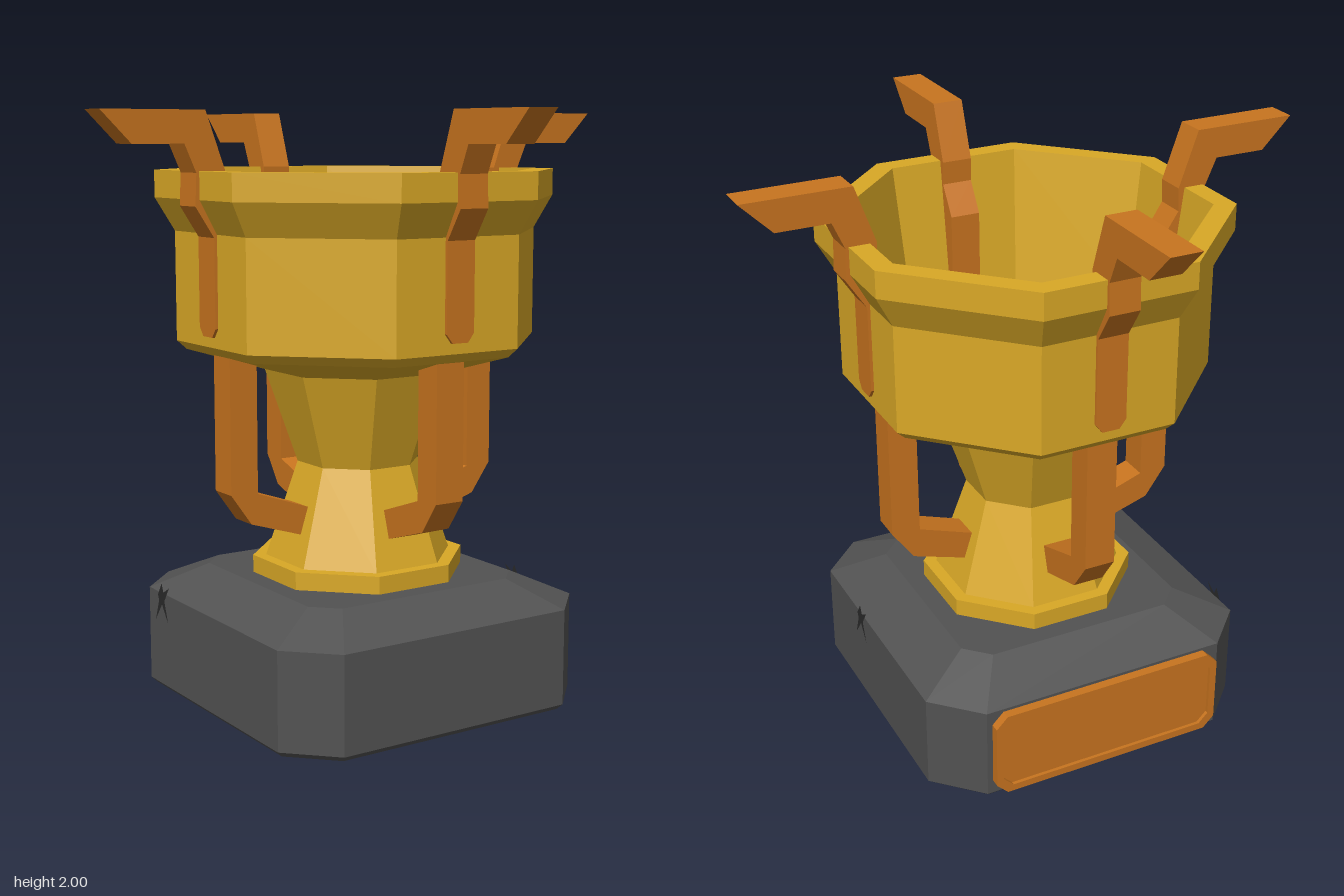
import * as THREE from 'three';

const paint = (color, side = THREE.FrontSide) =>
  new THREE.MeshStandardMaterial({ color, flatShading: true, side });
const gold = paint(0xd9a826);
const copper = paint(0xc8741f);
const stone = paint(0x525252);
const dark = paint(0x2a2a2a, THREE.DoubleSide);

function part(name, geometry, material) {
  const flat = geometry.index ? geometry.toNonIndexed() : geometry;
  flat.computeVertexNormals();
  const mesh = new THREE.Mesh(flat, material);
  mesh.name = name;
  return mesh;
}

// Joins closed rings of [x, y, z] points, each counter-clockwise seen from the end, and caps both ends
function loft(rings) {
  const n = rings[0].length, last = (rings.length - 1) * n, index = [];
  for (let i = 0; i < last; i += n) {
    for (let j = 0; j < n; j++) {
      const k = (j + 1) % n;
      index.push(i + j, i + k, i + n + k, i + j, i + n + k, i + n + j);
    }
  }
  for (let j = 1; j < n - 1; j++) index.push(0, j + 1, j, last, last + j, last + j + 1);
  const g = new THREE.BufferGeometry();
  g.setAttribute('position', new THREE.Float32BufferAttribute(rings.flat(2), 3));
  g.setIndex(index);
  return g;
}

// Eight-sided turned form; radii are measured to the flats
function octagonal(profile) {
  const pts = profile.map(([r, y]) => new THREE.Vector2(r / Math.cos(Math.PI / 8), y));
  return new THREE.LatheGeometry(pts, 8, Math.PI / 8);
}

// Square block with cut corners at one height
const blockRing = (h, c, y) => [
  [h, y, c], [h, y, -c], [c, y, -h], [-c, y, -h],
  [-h, y, -c], [-h, y, c], [-c, y, h], [c, y, h],
];

// Flat bar running along +x, from sections [outerX, outerY, innerX, innerY, halfWidth]
const bar = (sections) => loft(sections.map(([ox, oy, ix, iy, w = 0.053]) => [
  [ox, oy, w], [ox, oy, -w], [ix, iy, -w], [ix, iy, w],
]));

// Rectangle with cut corners
function cutRectangle(w, h, c, Type = THREE.Shape) {
  return new Type([
    [-w + c, -h], [w - c, -h], [w, -h + c], [w, h - c],
    [w - c, h], [-w + c, h], [-w, h - c], [-w, -h + c],
  ].map(([x, y]) => new THREE.Vector2(x, y)));
}

export function createModel() {
  const model = new THREE.Group();
  model.name = 'trophy';

  // Plinth
  model.add(part('plinth', loft([
    blockRing(0.57, 0.43, 0), blockRing(0.59, 0.44, 0.02),
    blockRing(0.59, 0.44, 0.35), blockRing(0.41, 0.33, 0.435),
  ]), stone));

  // Foot plate
  model.add(part('foot', octagonal([[0, 0.43], [0.34, 0.43], [0.34, 0.495], [0, 0.495]]), gold));

  // Waisted stem and hollow bowl in one profile
  model.add(part('cup', octagonal([
    [0.3, 0.49], [0.195, 0.82], [0.297, 1.14], [0.54, 1.215], [0.57, 1.245],
    [0.57, 1.61], [0.63, 1.72], [0.63, 1.81], [0.56, 1.81],
    [0.5, 1.34], [0.285, 1.2], [0, 1.2],
  ]), gold));

  // Four horns through the bowl wall and four brackets beneath it
  const horn = bar([
    [0.58, 1.28, 0.475, 1.28, 0.03], [0.58, 1.31, 0.475, 1.31], [0.58, 1.6, 0.475, 1.63],
    [0.645, 1.7, 0.54, 1.73], [0.64, 1.805, 0.537, 1.81],
    [0.68, 1.895, 0.605, 2], [0.86, 1.895, 0.965, 2],
  ]);
  const bracket = bar([
    [0.2, 0.575, 0.2, 0.675], [0.455, 0.655, 0.43, 0.755],
    [0.53, 0.76, 0.43, 0.76], [0.53, 1.23, 0.43, 1.23],
  ]);
  for (let i = 0; i < 4; i++) {
    const handle = new THREE.Group();
    handle.name = 'handle' + (i + 1);
    handle.add(part('horn', horn, copper), part('bracket', bracket, copper));
    handle.rotation.y = i * Math.PI / 2;
    model.add(handle);
  }

  // Framed plaque on the back
  const plaque = new THREE.Group();
  plaque.name = 'plaque';
  const frame = cutRectangle(0.42, 0.155, 0.04);
  frame.holes.push(cutRectangle(0.395, 0.13, 0.035, THREE.Path));
  const extrude = (shape, depth) =>
    new THREE.ExtrudeGeometry(shape, { depth, bevelEnabled: false });
  plaque.add(
    part('plaqueFrame', extrude(frame, 0.04), copper),
    part('plaquePanel', extrude(cutRectangle(0.4, 0.135, 0.035), 0.028), copper),
  );
  plaque.position.set(0, 0.185, -0.582);
  plaque.rotation.y = Math.PI;
  model.add(plaque);

  // Forked cracks on the two sides of the plinth
  const crack = new THREE.ShapeGeometry(new THREE.Shape([
    [-0.05, 0.245], [0, 0.31], [0.045, 0.25], [0.018, 0.325],
    [0.055, 0.38], [0.012, 0.355], [0, 0.385], [-0.03, 0.34], [-0.022, 0.32],
  ].map(([x, y]) => new THREE.Vector2(x, y))));
  for (const [side, z] of [[1, 0.13], [-1, -0.34]]) {
    const mesh = part(side > 0 ? 'leftCrack' : 'rightCrack', crack, dark);
    mesh.position.set(side * 0.593, 0, z);
    mesh.rotation.y = side * Math.PI / 2;
    model.add(mesh);
  }

  return model;
}
